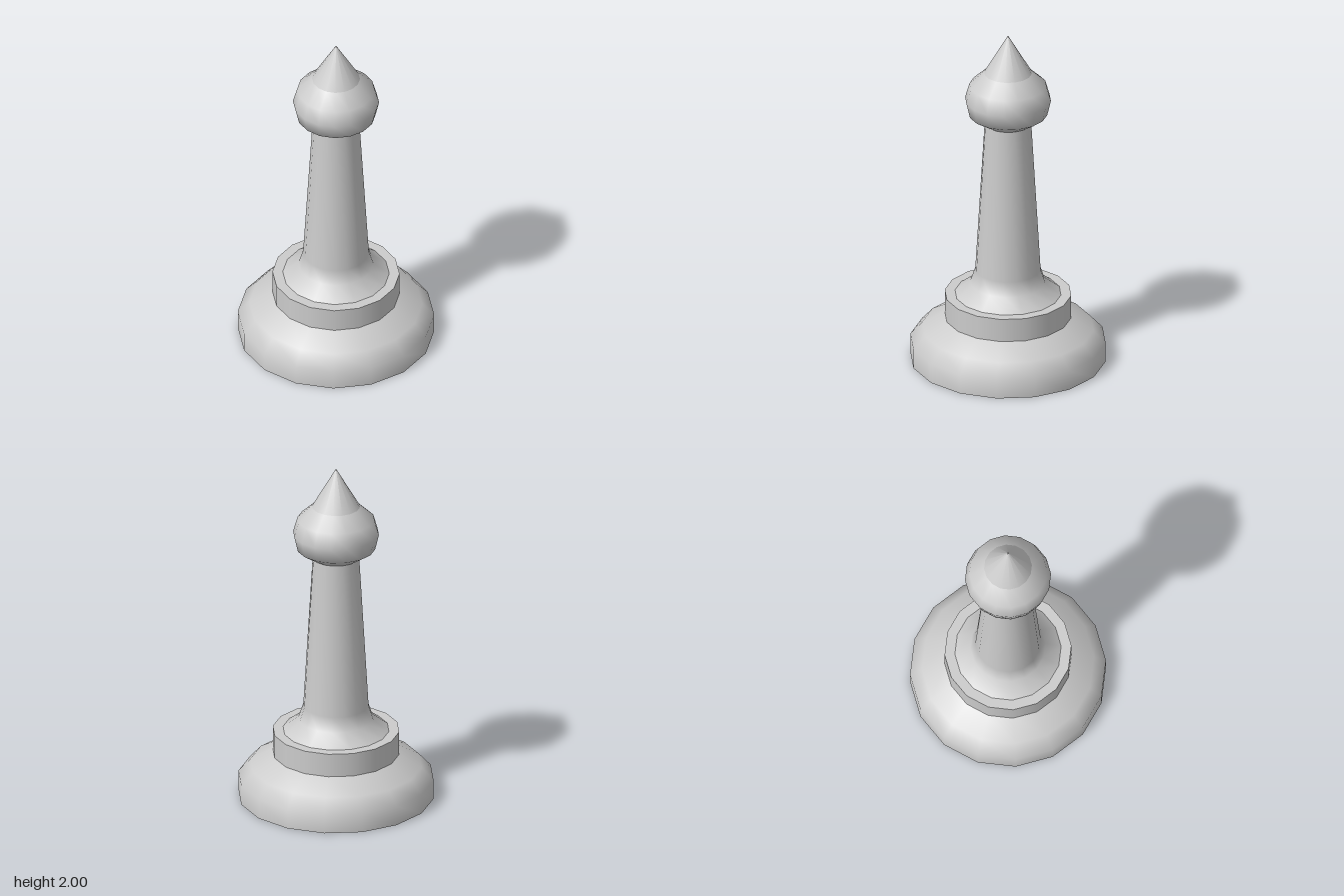
import * as THREE from 'three';

const SIDES = 16;

export function createModel() {
  const model = new THREE.Group();
  const material = new THREE.MeshStandardMaterial({ color: 0xcccccc });

  // Turned section: [radius, height] points from bottom to top; ends stay sharp
  const turn = (name, profile) => {
    const points = profile.map(([r, y]) => new THREE.Vector2(r, y));
    const mesh = new THREE.Mesh(new THREE.LatheGeometry(points, SIDES), material);
    mesh.name = name;
    model.add(mesh);
  };

  // Stepped foot
  turn('underside', [[0, 0], [0.553, 0]]);
  turn('base', [[0.553, 0], [0.553, 0.115], [0.485, 0.19], [0.358, 0.262]]);
  turn('collar', [[0.358, 0.262], [0.358, 0.4]]);
  turn('collarTop', [[0.358, 0.4], [0.3, 0.4]]);

  // Tapering stem with a flared root
  turn('stem', [[0.3, 0.4], [0.212, 0.468], [0.185, 0.55], [0.132, 1.458]]);

  // Bulb and pointed tip
  turn('head', [[0.132, 1.458], [0.222, 1.515], [0.243, 1.605], [0.218, 1.692], [0.135, 1.768]]);
  turn('tip', [[0.135, 1.768], [0, 2]]);

  return model;
}
